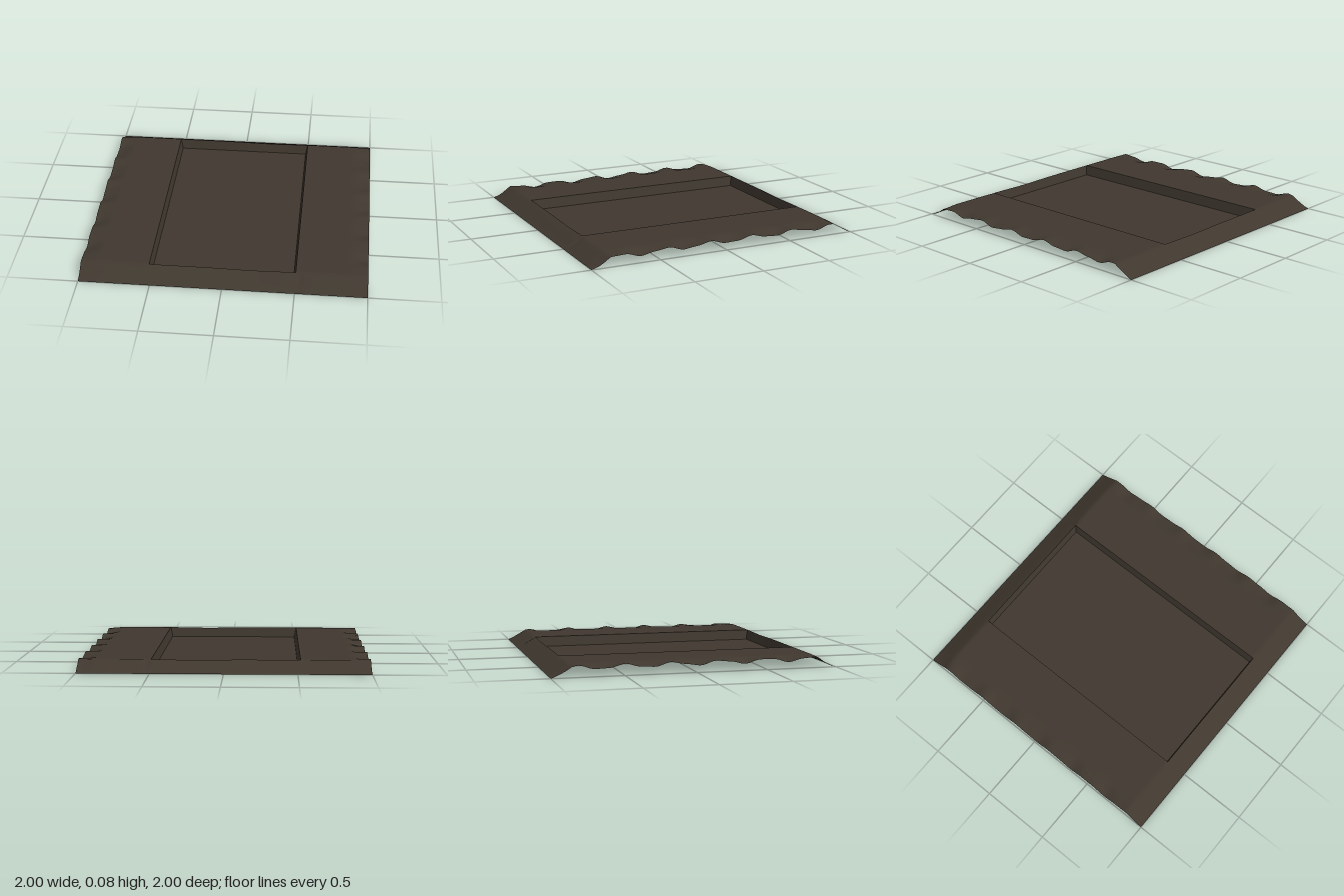
import * as THREE from 'three';

const PIT = { x0: -0.52, x1: 0.5, z: 0.86, floor: 0.004, inset: 0.015 };
const smooth = THREE.MathUtils.smoothstep;

// evenly spaced values that always include both ends
function span(a, b, n) {
  return Array.from({ length: n + 1 }, (_, i) => a + ((b - a) * i) / n);
}

// ground height: flat top, banks falling to the front and back, wavy side edges
function height(x, z) {
  const t = (1 - Math.abs(z)) / 0.14;
  const bank = t < 1 ? 0.076 * (0.85 * t + 0.15 * smooth(t, 0, 1)) : 0.076;
  const side = smooth(Math.abs(x), 0.86, 1);
  const wave = 0.2 + 0.17 * Math.cos(z * 19 + (x > 0 ? 0.6 : 0)) + 0.05 * Math.sin(z * 41);
  const dip = 0.06 * Math.exp(-(((x - 0.2) / 0.2) ** 2));
  const notch = 0.15 * Math.exp(-(((x - 0.53) / 0.025) ** 2)) * smooth(Math.abs(z), 0.85, 0.9);
  return bank * (1.03 - side * wave - dip - notch);
}

function indexed(points, index) {
  const g = new THREE.BufferGeometry();
  g.setAttribute('position', new THREE.Float32BufferAttribute(points, 3));
  g.setIndex(index);
  g.computeVertexNormals();
  return g;
}

// height-mapped sheet with the pit rectangle left open
function groundGeometry() {
  const xs = [...span(-1, -0.86, 6), ...span(-0.86, PIT.x0, 6).slice(1),
    ...span(PIT.x0, PIT.x1, 20).slice(1), ...span(PIT.x1, 0.58, 8).slice(1),
    ...span(0.58, 0.86, 5).slice(1), ...span(0.86, 1, 6).slice(1)];
  const zs = [...span(-1, -PIT.z, 8), ...span(-PIT.z, PIT.z, 80).slice(1), ...span(PIT.z, 1, 8).slice(1)];
  const points = [], index = [], w = xs.length;
  for (const z of zs) for (const x of xs) points.push(x, height(x, z), z);
  for (let j = 0; j < zs.length - 1; j++) {
    for (let i = 0; i < w - 1; i++) {
      const cx = (xs[i] + xs[i + 1]) / 2, cz = (zs[j] + zs[j + 1]) / 2;
      if (cx > PIT.x0 && cx < PIT.x1 && Math.abs(cz) < PIT.z) continue;
      const a = j * w + i, b = a + w;
      index.push(a, b, a + 1, b, b + 1, a + 1);
    }
  }
  return indexed(points, index);
}

// wall strip from the ground rim down to the floor outline
function wallGeometry([ax, az], [bx, bz]) {
  const n = 20, points = [], index = [];
  const inX = (x) => THREE.MathUtils.clamp(x, PIT.x0 + PIT.inset, PIT.x1 - PIT.inset);
  const inZ = (z) => THREE.MathUtils.clamp(z, -PIT.z + PIT.inset, PIT.z - PIT.inset);
  for (let i = 0; i <= n; i++) {
    const x = ax + ((bx - ax) * i) / n, z = az + ((bz - az) * i) / n;
    points.push(x, height(x, z), z, inX(x), PIT.floor, inZ(z));
    if (i < n) index.push(2 * i, 2 * i + 1, 2 * i + 2, 2 * i + 1, 2 * i + 3, 2 * i + 2);
  }
  return indexed(points, index);
}

export function createModel() {
  const model = new THREE.Group();
  model.name = 'sunkenGroundTile';
  const earth = new THREE.MeshStandardMaterial({ color: 0x40382f, side: THREE.DoubleSide });
  earth.name = 'dark earth';

  const add = (geometry, name, parent = model) => {
    const mesh = new THREE.Mesh(geometry, earth);
    mesh.name = name;
    parent.add(mesh);
    return mesh;
  };

  add(groundGeometry(), 'ground');

  // sunken pit: four leaning walls and a flat floor
  const pit = new THREE.Group();
  pit.name = 'pit';
  model.add(pit);
  const corners = [[PIT.x0, -PIT.z], [PIT.x0, PIT.z], [PIT.x1, PIT.z], [PIT.x1, -PIT.z]];
  ['leftEndWall', 'frontWall', 'rightEndWall', 'backWall'].forEach((name, i) => {
    // walk the rim so each wall faces into the pit
    add(wallGeometry(corners[(i + 1) % 4], corners[i]), name, pit);
  });
  const floor = new THREE.PlaneGeometry(PIT.x1 - PIT.x0 - 2 * PIT.inset, 2 * (PIT.z - PIT.inset));
  floor.rotateX(-Math.PI / 2);
  add(floor, 'pitFloor', pit).position.set((PIT.x0 + PIT.x1) / 2, PIT.floor, 0);

  return model;
}
